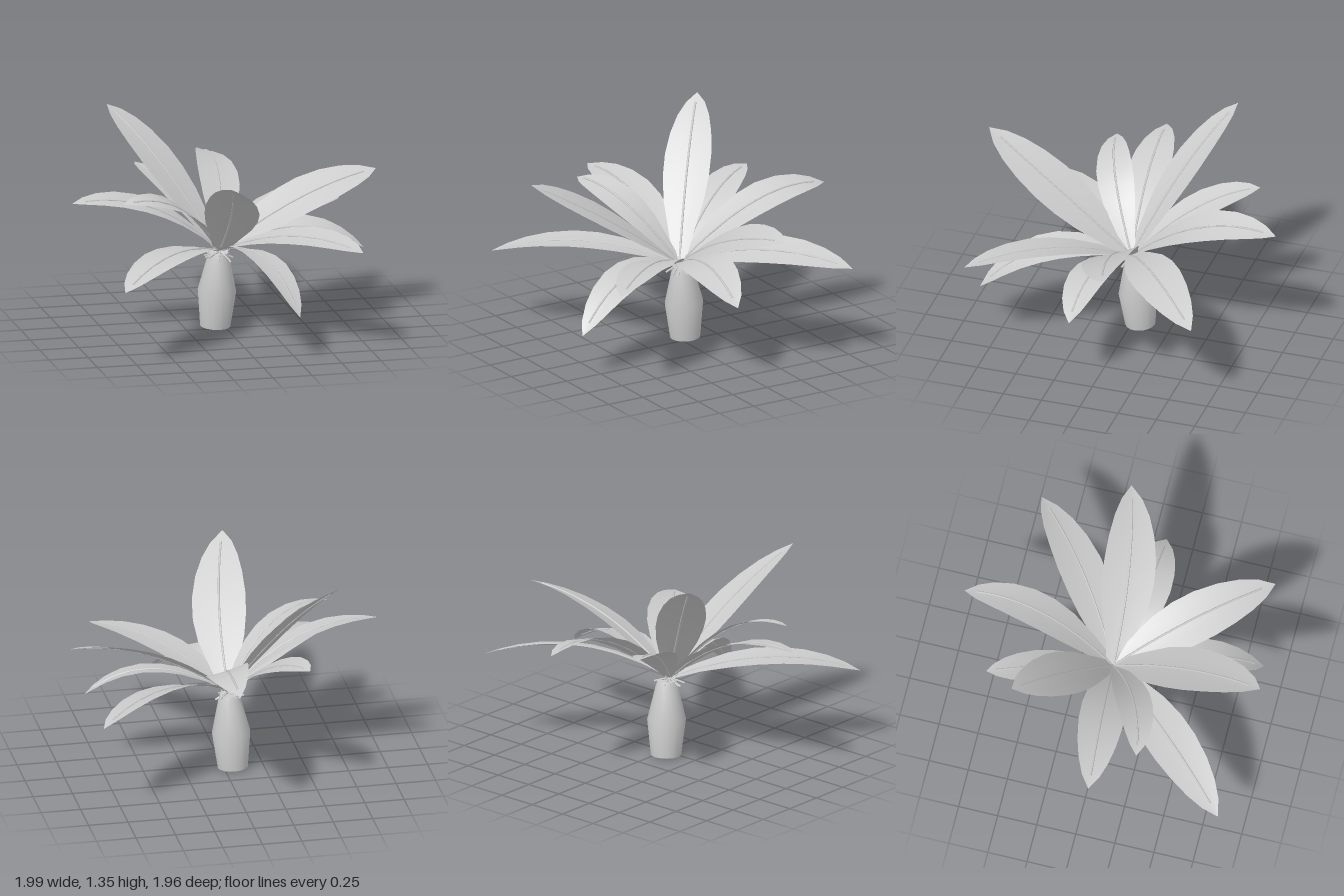
import * as THREE from 'three';

const crown = new THREE.Vector3(-0.04, 0.5, 0);

// Half-width of a blade along its length, as a share of the widest point
const outline = [[0, 0.25], [0.15, 0.55], [0.3, 0.86], [0.43, 0.99], [0.56, 1], [0.7, 0.88], [0.82, 0.68], [0.92, 0.4], [1, 0.01]];

// Each leaf: spine middle, tip, widest half-width, roll about the spine
const leaves = [
  { mid: [0.07, 0.86, -0.5], tip: [0.08, 0.89, -0.98], width: 0.135, roll: 0.3 },
  { mid: [0.44, 0.68, -0.31], tip: [0.89, 0.62, -0.69], width: 0.15, roll: 0.3 },
  { mid: [0.48, 0.8, -0.03], tip: [0.99, 0.93, -0.14], width: 0.17, roll: 0.35 },
  { mid: [0.44, 0.65, 0.09], tip: [0.85, 0.5, 0.12], width: 0.145, roll: 0.22 },
  { mid: [0.32, 0.68, 0.43], tip: [0.67, 0.66, 0.86], width: 0.155, roll: 0.15 },
  { mid: [0.13, 0.56, 0.49], tip: [0.26, 0.28, 0.89], width: 0.125, roll: -0.22 },
  { mid: [-0.46, 0.61, 0.46], tip: [-0.85, 0.5, 0.87], width: 0.15, roll: 0 },
  { mid: [-0.08, 0.86, 0.49], tip: [-0.2, 1.15, 0.98], width: 0.17, roll: -0.22 },
  { mid: [-0.36, 0.85, 0.21], tip: [-0.73, 0.92, 0.32], width: 0.115, roll: -0.25 },
  { mid: [-0.5, 0.82, 0.04], tip: [-1, 0.88, 0.08], width: 0.14, roll: -0.18 },
  { mid: [-0.35, 1.01, -0.25], tip: [-0.64, 1.35, -0.5], width: 0.15, roll: -0.15 },
  { mid: [-0.25, 0.8, -0.37], tip: [-0.41, 0.91, -0.72], width: 0.12, roll: 0.2 },
];

// Curve running from the crown through the middle of the leaf to its tip
function spineOf(mid, tip) {
  const end = new THREE.Vector3(...tip);
  const control = new THREE.Vector3(...mid).multiplyScalar(2)
    .addScaledVector(crown, -0.5).addScaledVector(end, -0.5);
  return new THREE.QuadraticBezierCurve3(crown.clone(), control, end);
}

// Thin blade: rows of points across the spine, edges lifted a little
function bladeGeometry(spine, width, roll) {
  const positions = [], index = [], across = 4, row = across + 1;
  const up = new THREE.Vector3(0, 1, 0);
  outline.forEach(([t, share], i) => {
    const centre = spine.getPoint(t);
    const along = spine.getTangent(t);
    const side = new THREE.Vector3().crossVectors(up, along).normalize();
    side.applyAxisAngle(along, roll);
    const normal = new THREE.Vector3().crossVectors(along, side);
    for (let j = 0; j <= across; j++) {
      const s = (j / across) * 2 - 1;
      const p = centre.clone().addScaledVector(side, s * width * share)
        .addScaledVector(normal, s * s * width * share * 0.06);
      positions.push(p.x, p.y, p.z);
      if (i > 0 && j > 0) {
        const d = i * row + j, c = d - 1, b = d - row, a = b - 1;
        index.push(a, c, b, b, c, d);
      }
    }
  });
  const geometry = new THREE.BufferGeometry();
  geometry.setAttribute('position', new THREE.Float32BufferAttribute(positions, 3));
  geometry.setIndex(index);
  geometry.computeVertexNormals();
  return geometry;
}

// Midrib: a fine rod along the spine, with a stub crossing the crown
function ribGeometry(spine) {
  const back = spine.getTangent(0).multiply(new THREE.Vector3(1, 0.6, 1)).setLength(0.1);
  const points = [crown.clone().sub(back)];
  for (let i = 0; i <= 8; i++) points.push(spine.getPoint(i / 8 * 0.92));
  return new THREE.TubeGeometry(new THREE.CatmullRomCurve3(points), 16, 0.007, 5);
}

export function createModel() {
  const model = new THREE.Group();
  const material = new THREE.MeshStandardMaterial({ color: 0xcccccc });
  const thin = new THREE.MeshStandardMaterial({ color: 0xcccccc, side: THREE.DoubleSide });

  // Stout trunk, widest at mid-height and leaning slightly forward
  const profile = [[0.095, 0], [0.121, 0.23], [0.07, 0.45], [0.06, 0.48]]
    .map(([r, y]) => new THREE.Vector2(r, y));
  const trunk = new THREE.Group();
  trunk.name = 'trunk';
  const bark = new THREE.Mesh(new THREE.LatheGeometry(profile, 16), material);
  bark.name = 'bark';
  trunk.add(bark);
  [[0.095, 0, Math.PI / 2, 'trunkBase'], [0.06, 0.48, -Math.PI / 2, 'trunkTop']].forEach(([r, y, turn, name]) => {
    const cap = new THREE.Mesh(new THREE.CircleGeometry(r, 16), material);
    cap.name = name;
    cap.position.y = y;
    cap.rotation.x = turn;
    trunk.add(cap);
  });
  trunk.position.set(-0.056, 0.007, -0.053);
  trunk.rotation.set(0.06, 0, -0.035);
  model.add(trunk);

  // Leaves radiating from the crown
  leaves.forEach(({ mid, tip, width, roll }) => {
    const spine = spineOf(mid, tip);
    const leaf = new THREE.Group();
    leaf.name = 'leaf';
    const blade = new THREE.Mesh(bladeGeometry(spine, width, roll), thin);
    blade.name = 'blade';
    const rib = new THREE.Mesh(ribGeometry(spine), material);
    rib.name = 'midrib';
    leaf.add(blade, rib);
    model.add(leaf);
  });
  return model;
}
